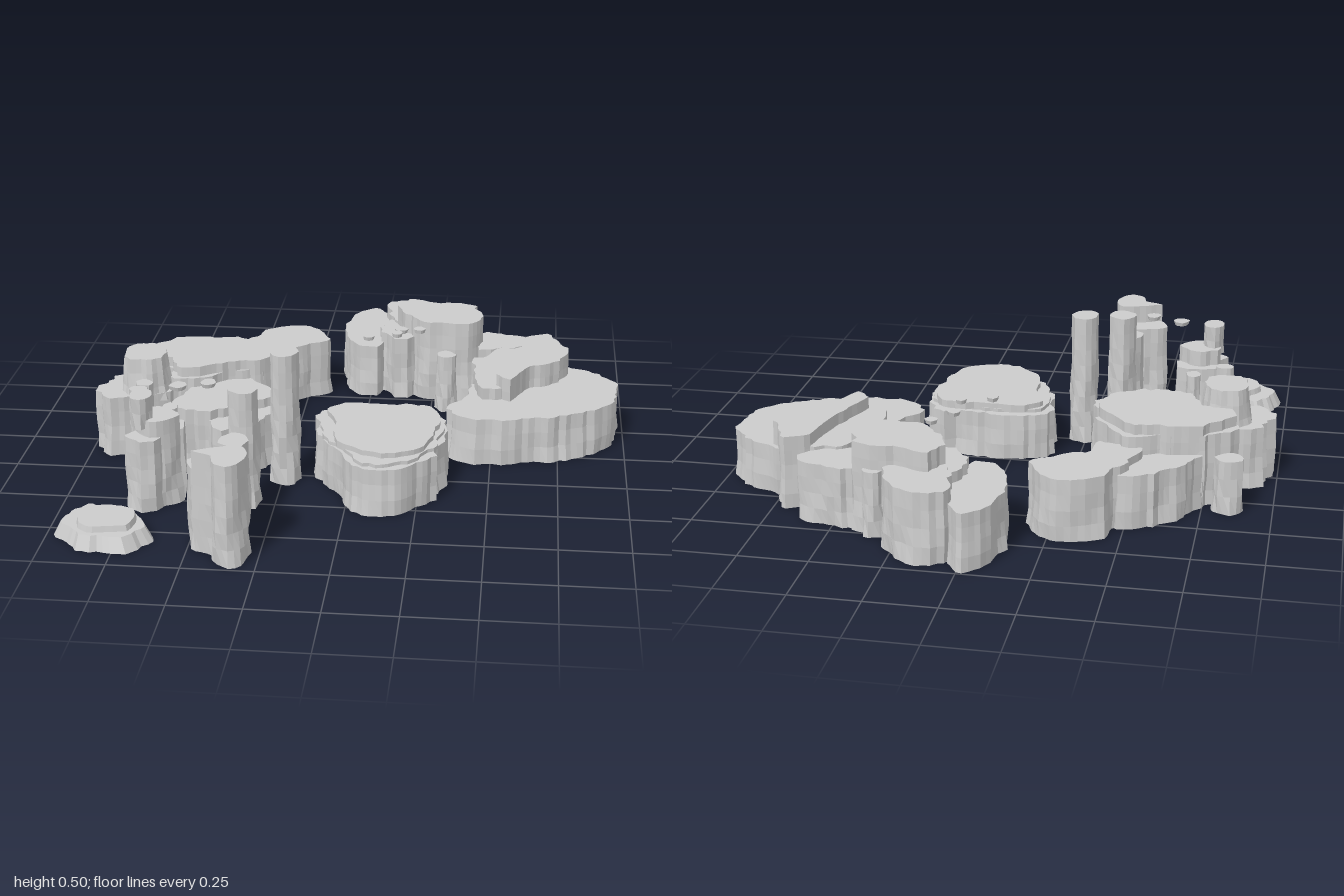
import * as THREE from 'three';

const material = new THREE.MeshStandardMaterial({
  color: 0xcccccc, flatShading: true, side: THREE.DoubleSide });

// repeatable value in -1..1
const hash = (a, b) => {
  const s = Math.sin(a * 127.1 + b * 311.7) * 43758.5453;
  return (s - Math.floor(s)) * 2 - 1;
};

let seed = 0;

// Weathered rock prism: [x, z] outline made ragged and raised from y0 to y1, with
// wavering walls and a slight foot; taper is the size of the top against the bottom.
// Rocks that stand on the ground are open underneath.
function rock(name, points, y0, y1, { taper = 1, rough = 0.017 } = {}) {
  const id = ++seed;
  const curve = new THREE.CatmullRomCurve3(
    points.map(([x, z]) => new THREE.Vector3(x, 0, z)), true, 'catmullrom', 0.35);
  const n = Math.max(14, Math.round(curve.getLength() / 0.024));
  const ring = curve.getSpacedPoints(n).slice(0, n);
  const c = ring.reduce((s, p) => s.add(p), new THREE.Vector3()).divideScalar(n);
  ring.forEach((p, i) => {
    const d = p.clone().sub(c).normalize();
    p.addScaledVector(d, rough * (hash(i, id) * 0.4 + hash(Math.floor(i / 3), id + 40) * 0.75));
  });
  const shape = new THREE.Shape(ring.map(p => new THREE.Vector2(p.x - c.x, c.z - p.z)));
  const h = y1 - y0;
  const steps = Math.max(1, Math.round(h / 0.06));
  const g = new THREE.ExtrudeGeometry(shape, { depth: h, steps, bevelEnabled: false });
  g.rotateX(-Math.PI / 2);

  // the bottom lid is the first half of the lid triangles
  const skip = y0 === 0 ? g.groups[0].count / 2 : 0;
  const pos = new THREE.BufferAttribute(g.attributes.position.array.slice(skip * 3), 3);
  for (let i = 0; i < pos.count; i++) {
    const x = pos.getX(i), y = pos.getY(i), z = pos.getZ(i);
    const a = Math.atan2(z, x), r = Math.hypot(x, z) || 1;
    const below = 1 - y / h;
    const wave = 0.004 * below * below + below * 0.007 * Math.sin(a * 4 + y * 24 + id);
    const k = 1 + (taper - 1) * y / h + (steps > 1 ? wave / r : 0);
    pos.setXYZ(i, c.x + x * k, y0 + y, c.z + z * k);
  }
  const geometry = new THREE.BufferGeometry().setAttribute('position', pos);
  geometry.computeVertexNormals();
  const mesh = new THREE.Mesh(geometry, material);
  mesh.name = name;
  return mesh;
}

// Ragged round outline
function blob(x, z, rx, rz = rx, count = 7) {
  return Array.from({ length: count }, (_, i) => {
    const a = i / count * Math.PI * 2;
    const k = 1 + 0.1 * hash(i, x * 10 + z);
    return [x + Math.cos(a) * rx * k, z + Math.sin(a) * rz * k];
  });
}

// Outline scaled about a point
const scaled = (points, cx, cz, k) => points.map(([x, z]) => [cx + (x - cx) * k, cz + (z - cz) * k]);

function cluster(name, ...parts) {
  const g = new THREE.Group();
  g.name = name;
  g.add(...parts);
  return g;
}

export function createModel() {
  const model = new THREE.Group();
  model.name = 'rockFormation';

  // Central mesa in three tiers
  const mesa = [[-.14, .1], [-.1, .03], [0, .02], [.12, .02], [.26, .02], [.33, .08], [.35, .2],
    [.315, .38], [.245, .49], [.13, .56], [.04, .525], [-.03, .42], [-.1, .32], [-.13, .2]];
  const mesaTop = [[-.1, .08], [0, .035], [.25, .04], [.31, .12], [.3, .28], [.25, .42],
    [.16, .47], [.03, .45], [-.05, .36], [-.06, .22]];
  model.add(cluster('centralMesa',
    rock('mesaBase', mesa, 0, 0.175),
    rock('mesaShelf', scaled(mesa, .1, .26, .92), 0.165, 0.188, { rough: 0.012 }),
    rock('mesaTop', mesaTop, 0.18, 0.207, { rough: 0.012 })));

  // Wide stepped plateau on the left side
  model.add(cluster('steppedPlateau',
    rock('lowerTerrace', [[.36, .06], [.34, -.03], [.4, -.12], [.43, -.25], [.5, -.38], [.65, -.45],
      [.78, -.47], [.9, -.41], [.97, -.27], [.95, -.12], [.85, -.02], [.7, .04], [.5, .09]], 0, 0.18),
    rock('middleTerrace', [[.42, -.22], [.41, -.38], [.46, -.45], [.52, -.54], [.63, -.53],
      [.68, -.4], [.62, -.25], [.55, -.12], [.47, -.1]], 0, 0.225),
    rock('upperTerrace', [[.62, -.53], [.7, -.58], [.74, -.5], [.785, -.42], [.73, -.27],
      [.63, -.22], [.56, -.09], [.51, -.13], [.55, -.27], [.59, -.4]], 0, 0.27)));

  // Back ridge of overlapping blocks
  model.add(cluster('backRidge',
    rock('ridgeTail', [[-.02, -.985], [.03, -.92], [.07, -.8], [.06, -.65], [.02, -.54], [-.05, -.55],
      [-.1, -.62], [-.13, -.75], [-.1, -.9]], 0, 0.21, { rough: 0.012 }),
    rock('ridgeBack', [[.04, -.91], [.15, -.94], [.24, -.9], [.29, -.8], [.25, -.7], [.1, -.7]], 0, 0.26),
    rock('ridgeShoulder', [[.04, -.7], [.1, -.76], [.17, -.68], [.17, -.55], [.09, -.53], [.05, -.6]], 0, 0.25),
    rock('ridgeTop', [[.1, -.72], [.15, -.77], [.3, -.74], [.4, -.72], [.45, -.62], [.42, -.53],
      [.32, -.51], [.22, -.52], [.13, -.6]], 0, 0.33),
    rock('ridgeEnd', [[.4, -.7], [.5, -.7], [.63, -.66], [.62, -.59], [.52, -.53], [.43, -.52]], 0, 0.22),
    rock('ridgeChip', blob(.34, -.74, .04), 0, 0.24, { rough: 0.006 }),
    rock('ridgePillar', blob(.31, -.43, .037, .04), 0, 0.23, { rough: 0.006 })));

  // Right hand massif
  const crown = [[-.84, -.21], [-.75, -.3], [-.62, -.32], [-.49, -.35], [-.43, -.27], [-.36, -.18],
    [-.39, -.11], [-.5, -.09], [-.57, -.02], [-.68, 0], [-.73, -.1], [-.83, -.13]];
  model.add(cluster('massif',
    rock('massifShelf', scaled(crown, -.61, -.17, 1.05), 0, 0.27),
    rock('massifCrown', crown, 0, 0.308),
    rock('massifBackBlock', [[-.54, -.36], [-.5, -.5], [-.45, -.61], [-.38, -.67], [-.28, -.69], [-.2, -.63],
      [-.18, -.55], [-.26, -.46], [-.36, -.42], [-.38, -.32]], 0, 0.23),
    rock('massifBackStep', [[-.74, -.28], [-.7, -.42], [-.58, -.52], [-.48, -.54], [-.42, -.4], [-.5, -.25]], 0, 0.2),
    rock('massifSideBlock', [[-.97, .06], [-.95, -.06], [-.86, -.12], [-.72, -.12], [-.66, -.02],
      [-.73, .06], [-.82, .09], [-.91, .13]], 0, 0.23),
    rock('massifSideKnob', blob(-.8, -.01, .105, .11, 9), 0.2, 0.365, { taper: 0.82, rough: 0.012 }),
    rock('massifFrontBlock', [[-.6, -.05], [-.45, -.1], [-.35, -.02], [-.31, .07], [-.38, .12],
      [-.5, .22], [-.62, .23], [-.67, .15], [-.63, .05]], 0, 0.235),
    rock('massifFrontStep', [[-.54, .08], [-.4, .02], [-.31, .08], [-.32, .2], [-.4, .28],
      [-.47, .32], [-.53, .22]], 0, 0.2)));

  // Free standing pillars: x, z, rx, rz, height
  const pillars = [
    [-.24, .275, .05, .06, .5], [-.35, .49, .056, .055, .44], [-.365, .64, .05, .06, .31],
    [-.78, .16, .032, .03, .31], [-.78, .27, .036, .033, .33], [-.655, .3, .034, .034, .28],
    [-.84, -.32, .047, .042, .2]];
  model.add(cluster('pillars', ...pillars.map(([x, z, rx, rz, h]) =>
    rock('pillar', blob(x, z, rx, rz), 0, h, { rough: 0.008 }))));

  // Split pillar at the front
  model.add(cluster('splitPillar',
    rock('splitPillarFront', [[-.47, .87], [-.39, .835], [-.31, .81], [-.28, .88], [-.3, .96],
      [-.34, .99], [-.39, .96], [-.41, .9]], 0, 0.37, { rough: 0.008 }),
    rock('splitPillarBack', [[-.5, .79], [-.42, .745], [-.34, .735], [-.31, .82], [-.39, .85], [-.47, .87]],
      0, 0.3, { rough: 0.008 })));

  // Stepped tower
  model.add(cluster('steppedTower',
    rock('towerBase', [[-.77, .42], [-.68, .385], [-.59, .4], [-.57, .47], [-.64, .5], [-.64, .57],
      [-.7, .6], [-.77, .56], [-.73, .49]], 0, 0.27, { rough: 0.01 }),
    rock('towerShoulder', blob(-.67, .49, .075, .07), 0, 0.33, { rough: 0.008 }),
    rock('towerCap', blob(-.71, .52, .034, .042), 0.3, 0.415, { taper: 1.2, rough: 0.004 })));

  // Low flared boulder apart from the rest
  const boulder = [[-.97, .8], [-.94, .68], [-.9, .62], [-.84, .66], [-.73, .68], [-.66, .75],
    [-.64, .82], [-.7, .91], [-.8, .92], [-.9, .88]];
  model.add(cluster('lowBoulder',
    rock('boulderFlank', boulder, 0, 0.052, { taper: 0.84 }),
    rock('boulderTop', blob(-.79, .785, .11, .095, 9), 0.045, 0.073, { taper: 0.93, rough: 0.008 })));

  // Floating stone flakes: x, z, radius, height
  const flakes = [[.015, -.28, .022, .35], [.12, -.32, .024, .35], [.13, -.405, .024, .335],
    [.2, -.455, .023, .318], [-.48, .47, .029, .445], [-.588, .47, .03, .43]];
  model.add(cluster('floatingStones', ...flakes.map(([x, z, r, y]) =>
    rock('floatingStone', blob(x, z, r * 0.85), y - 0.009, y + 0.006, { taper: 1.2, rough: 0.003 }))));

  return model;
}
